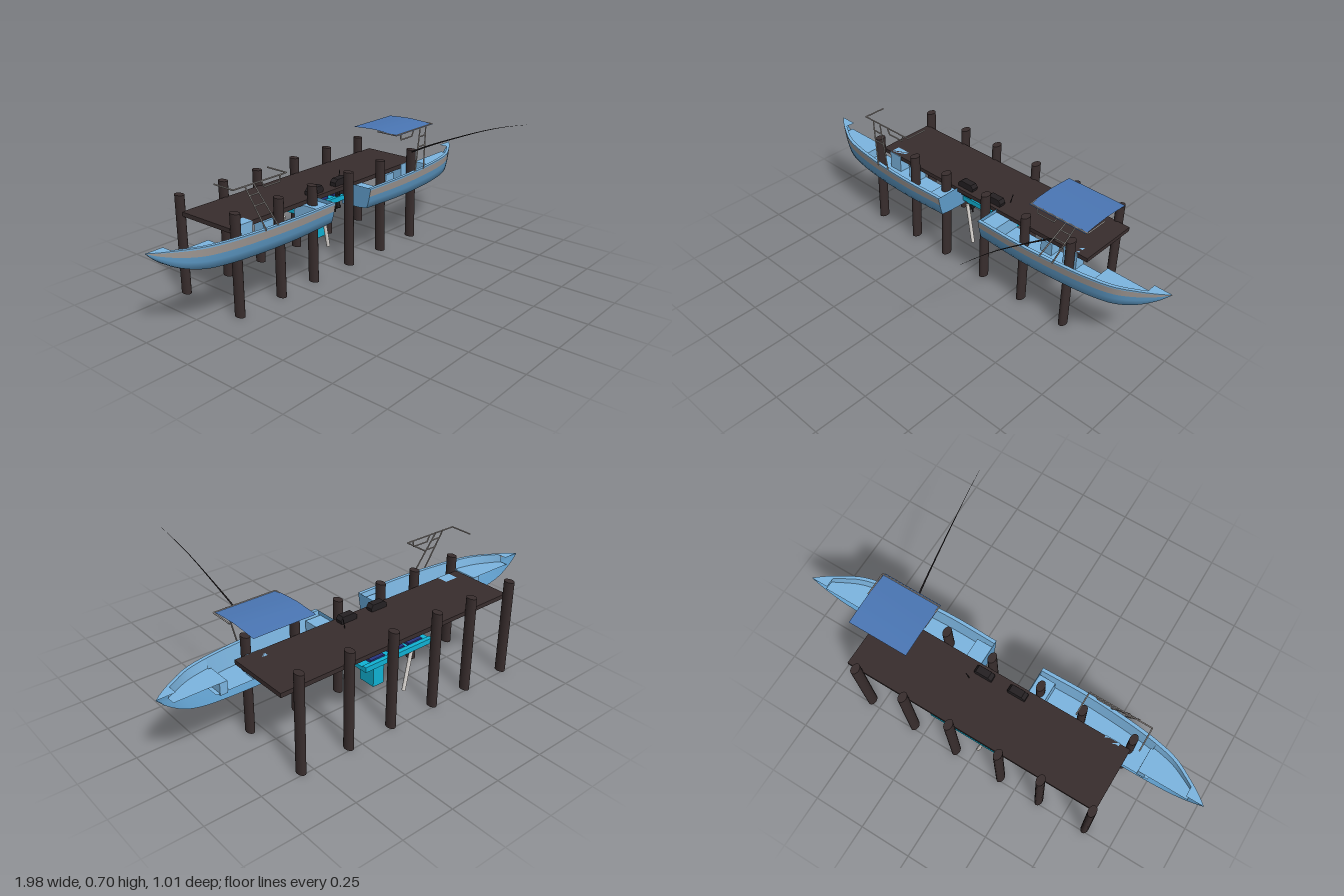
import * as THREE from 'three';

const material = (name, color, side = THREE.FrontSide) => {
  const m = new THREE.MeshStandardMaterial({ color, side });
  m.name = name;
  return m;
};

const CENTRE = -0.215; // z of the boats' cut centre plane
const RIM = 0.385;

// Smooth profiles along the boat: x, half beam, keel height
const lines = new THREE.CatmullRomCurve3([
  [0.12, 0.175, 0.275], [0.35, 0.178, 0.267], [0.55, 0.166, 0.265], [0.7, 0.147, 0.268],
  [0.8, 0.122, 0.276], [0.88, 0.08, 0.298], [0.95, 0.035, 0.342], [0.992, 0.001, 0.383],
].map(p => new THREE.Vector3(...p)));
const stations = lines.getPoints(35);
// Cross-section from rim to keel: fraction of half beam, fraction of height
const section = [[1, 1], [0.99, 0.92], [0.95, 0.62], [0.92, 0.4], [0.86, 0.1], [0.6, 0.04], [0, 0]];

export function createModel() {
  const model = new THREE.Group();
  const wood = material('dark wood', 0x382d2d);
  const blue = material('light blue', 0x7cb5e0, THREE.DoubleSide);
  const hullBlue = material('hull blue', 0x5f9cc9, THREE.DoubleSide);
  const grey = material('stripe grey', 0xa39c98, THREE.DoubleSide);
  const canvas = material('canvas blue', 0x4a76b4, THREE.DoubleSide);
  const aqua = material('turquoise', 0x10b2d4, THREE.DoubleSide);
  const navy = material('navy', 0x27347f);
  const black = material('black', 0x242022);
  const white = material('off white', 0xdad6d2);

  const add = (parent, name, geometry, mat) => {
    const mesh = new THREE.Mesh(geometry, mat);
    mesh.name = name;
    parent.add(mesh);
    return mesh;
  };
  // Box given by its limits on each axis
  const box = (parent, name, mat, x0, x1, y0, y1, z0, z1) => {
    const mesh = add(parent, name, new THREE.BoxGeometry(Math.abs(x1 - x0), y1 - y0, Math.abs(z1 - z0)), mat);
    mesh.position.set((x0 + x1) / 2, (y0 + y1) / 2, (z0 + z1) / 2);
    return mesh;
  };
  // Straight rod between two points
  const rod = (parent, name, mat, a, b, r, r2 = r) => {
    const p = new THREE.Vector3(...a), q = new THREE.Vector3(...b);
    const mesh = add(parent, name, new THREE.CylinderGeometry(r2, r, p.distanceTo(q), 10), mat);
    mesh.position.copy(p).lerp(q, 0.5);
    mesh.quaternion.setFromUnitVectors(new THREE.Vector3(0, 1, 0), q.sub(p).normalize());
    return mesh;
  };
  // Surface through rows of points
  const loft = (parent, name, mat, rows, flip = false) => {
    const n = rows[0].length, index = [];
    for (let i = 0; i < rows.length - 1; i++) {
      for (let j = 0; j < n - 1; j++) {
        const a = i * n + j, b = a + 1, c = a + n, d = c + 1;
        index.push(...(flip ? [a, b, c, b, d, c] : [a, c, b, b, c, d]));
      }
    }
    const g = new THREE.BufferGeometry();
    g.setAttribute('position', new THREE.Float32BufferAttribute(rows.flat(2), 3));
    g.setIndex(index);
    g.computeVertexNormals();
    return add(parent, name, g, mat);
  };

  // Pier: deck and two rows of oval pilings
  box(model, 'pierDeck', wood, -0.62, 0.62, 0.365, 0.385, -0.463, -0.163);
  for (const x of [-0.612, -0.37, -0.165, 0.078, 0.308, 0.55]) {
    for (const z of [-0.137, -0.482]) {
      const post = add(model, 'piling', new THREE.CylinderGeometry(1, 1, 0.457, 20), wood);
      post.scale.set(0.018, 1, 0.026);
      post.position.set(x, 0.2285, z);
    }
  }

  // Two mirrored half boats, sterns facing each other
  for (const s of [1, -1]) {
    const boat = new THREE.Group();
    boat.name = s > 0 ? 'leftBoat' : 'rightBoat';
    model.add(boat);
    const point = (p, [w, h]) => [s * p.x, p.z + (RIM - p.z) * h, CENTRE + p.y * w];
    const strip = (name, mat, from, to) =>
      loft(boat, name, mat, stations.map(p => section.slice(from, to + 1).map(f => point(p, f))), s < 0);
    strip('hullRim', blue, 0, 1);
    strip('hullStripe', grey, 1, 2);
    strip('hullBottom', hullBlue, 2, 6);

    // Transom
    const end = section.map(f => point(stations[0], f));
    loft(boat, 'transom', hullBlue, [end, end.map(p => [p[0], p[1], CENTRE])], s < 0);

    // Inner lining: side deck and inner wall, then the floor
    const lining = (name, x0, x1, floor) => {
      const part = stations.filter(p => p.x >= x0 && p.x <= x1);
      const edge = p => Math.max(p.y * 0.88 - 0.008, 0);
      const cap = p => Math.max(p.y - 0.016, 0);
      const z = w => CENTRE + w;
      loft(boat, name + 'SideDeck', blue, part.map(p => [[s * p.x, RIM, z(p.y)], [s * p.x, RIM, z(cap(p))]]), s > 0);
      loft(boat, name + 'Wall', blue, part.map(p => [[s * p.x, RIM, z(cap(p))], [s * p.x, floor, z(edge(p))]]), s > 0);
      loft(boat, name + 'Floor', blue, part.map(p => [[s * p.x, floor, z(edge(p))], [s * p.x, floor, CENTRE]]), s > 0);
    };
    lining('cockpit', 0.11, 0.75, 0.3);
    lining('bow', 0.7, 0.935, 0.345);
    loft(boat, 'bowCap', blue, stations.filter(p => p.x > 0.9).map(p =>
      [[s * p.x, RIM, CENTRE + p.y], [s * p.x, RIM, CENTRE]]), s > 0);

    // Seats, console and stern locker
    box(boat, 'sternLocker', blue, s * 0.121, s * 0.2, 0.29, 0.368, CENTRE, -0.07);
    box(boat, 'bowStep', blue, s * 0.69, s * 0.725, 0.29, 0.345, CENTRE, -0.1);
    box(boat, 'console', blue, s * 0.5, s * 0.57, 0.3, 0.385, CENTRE, -0.16);
    box(boat, 'helmSeat', blue, s * 0.38, s * 0.44, 0.3, 0.36, CENTRE, -0.16);

    // Canopy frame
    const bar = (a, b) => rod(boat, 'canopyFrame', grey, [s * a[0], a[1], a[2]], [s * b[0], b[1], b[2]], 0.0032);
    bar([0.53, 0.38, -0.045], [0.596, 0.573, -0.085]);
    bar([0.462, 0.38, -0.045], [0.55, 0.573, -0.085]);
    bar([0.51, 0.49, -0.068], [0.57, 0.49, -0.068]);
    bar([0.535, 0.535, -0.077], [0.583, 0.535, -0.077]);
    bar([0.365, 0.574, -0.09], [0.655, 0.574, -0.09]);
    bar([0.4, 0.574, -0.09], [0.405, 0.545, -0.09]);
    bar([0.405, 0.545, -0.09], [0.49, 0.545, -0.09]);
    bar([0.49, 0.545, -0.09], [0.505, 0.574, -0.09]);
    for (const x of [0.365, 0.655]) bar([x, 0.574, -0.09], [x, 0.574, -0.2]);

    // Outboard motor
    const motor = new THREE.Group();
    motor.name = 'outboardMotor';
    boat.add(motor);
    const cowl = new THREE.Shape([[-0.045, 0.372], [0.034, 0.372], [0.04, 0.4], [0.03, 0.415], [-0.03, 0.415],
      [-0.045, 0.402]].map(p => new THREE.Vector2(...p)));
    add(motor, 'cowling', new THREE.ExtrudeGeometry(cowl, {
      depth: 0.029, bevelThickness: 0.003, bevelSize: 0.002, bevelSegments: 2,
    }), black).position.set(s * 0.084, 0, -0.213);
    box(motor, 'motorBracket', black, s * 0.075, s * 0.122, 0.335, 0.372, -0.215, -0.19);
    box(motor, 'motorLeg', black, s * 0.072, s * 0.094, 0.265, 0.372, -0.217, -0.204);
    rod(motor, 'gearcase', black, [s * 0.105, 0.265, -0.215], [s * 0.068, 0.265, -0.215], 0.008, 0.005);
    for (let i = 0; i < 3; i++) {
      const a = i * Math.PI * 2 / 3 + 0.5;
      rod(motor, 'propellerBlade', black, [s * 0.07, 0.265, -0.215],
        [s * 0.07, 0.265 + Math.sin(a) * 0.018, -0.215 + Math.cos(a) * 0.018], 0.003, 0.005);
    }
  }

  // Arched canvas canopy over one boat
  const arch = [[-0.083, 0.573], [-0.15, 0.579], [-0.22, 0.582], [-0.28, 0.579], [-0.348, 0.574]];
  loft(model, 'canopy', canvas, [0.362, 0.65].map(x => arch.map(([z, y]) => [x, y, z])), true);

  // Fishing rod, tapering in short lengths
  const bend = new THREE.CatmullRomCurve3([
    [0.5, 0.463, -0.095], [0.505, 0.51, 0], [0.512, 0.575, 0.15], [0.519, 0.635, 0.3],
    [0.525, 0.668, 0.4], [0.53, 0.695, 0.505]].map(p => new THREE.Vector3(...p)));
  const path = bend.getSpacedPoints(12);
  const thick = i => 0.0042 * (1 - i / 13);
  for (let i = 0; i < 12; i++) {
    rod(model, 'fishingRod', black, path[i].toArray(), path[i + 1].toArray(), thick(i), thick(i + 1));
  }
  rod(model, 'antenna', black, [0.13, 0.38, -0.245], [0.142, 0.43, -0.247], 0.002);

  // Small craft under the deck: keel box, tray, seats and slanted legs
  box(model, 'keelBox', aqua, 0.004, 0.062, 0.12, 0.365, -0.352, -0.267);
  box(model, 'floatTray', aqua, -0.17, 0.2, 0.298, 0.316, -0.456, -0.2);
  for (const z of [-0.21, -0.446]) box(model, 'trayEdge', aqua, -0.17, 0.2, 0.316, 0.322, z - 0.01, z + 0.01);
  for (const x of [-0.13, -0.03, 0.08]) box(model, 'floatSeat', navy, x, x + 0.075, 0.316, 0.328, -0.435, -0.235);
  const wedge = new THREE.Shape([[0.23, 0.342], [0.245, 0.302], [0.357, 0.302], [0.373, 0.342]]
    .map(p => new THREE.Vector2(...p)));
  const pod = add(model, 'floatPod', new THREE.ExtrudeGeometry(wedge, { depth: 0.04, bevelEnabled: false }), blue);
  pod.rotation.y = Math.PI / 2;
  pod.position.x = 0.17;
  for (const z of [-0.173, -0.445]) {
    rod(model, 'slantedLeg', white, [-0.064, 0.315, z], [-0.026, 0.116, z], 0.0085);
  }
  return model;
}
